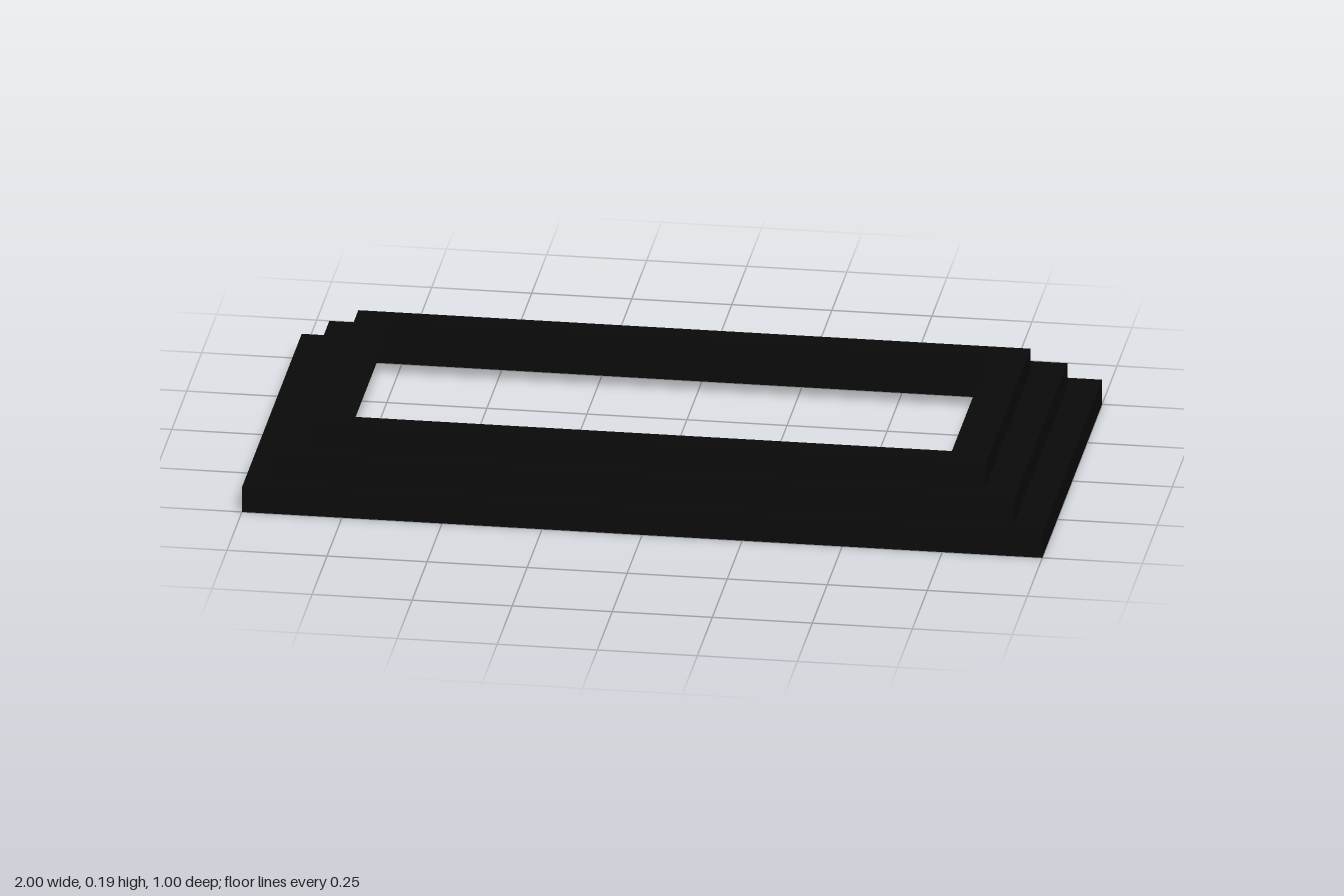
import * as THREE from 'three';

// Rectangular outlines of the stepped sheet, bottom to top: half width, height, half depth
const outlines = [
  [1.0, 0, 0.5], [1.0, 0.066, 0.5],
  [0.922, 0.066, 0.44], [0.922, 0.13, 0.44],
  [0.84, 0.13, 0.376], [0.84, 0.19, 0.376],
  [0.745, 0.19, 0.305],
];

// Four corners, anticlockwise seen from above
const corners = ([x, y, z]) => [[-x, y, z], [x, y, z], [x, y, -z], [-x, y, -z]];

// Band of four flat quads joining two outlines
function band(lower, upper) {
  const a = corners(lower), b = corners(upper), points = [];
  for (let i = 0; i < 4; i++) {
    const j = (i + 1) % 4;
    points.push(...a[i], ...a[j], ...b[j], ...a[i], ...b[j], ...b[i]);
  }
  const geometry = new THREE.BufferGeometry();
  geometry.setAttribute('position', new THREE.Float32BufferAttribute(points, 3));
  geometry.computeVertexNormals();
  return geometry;
}

export function createModel() {
  const model = new THREE.Group();
  model.name = 'steppedFrame';
  const black = new THREE.MeshStandardMaterial({ color: 0x0a0a0a, side: THREE.DoubleSide });

  // Three tiers, each an upright riser and a flat tread, open underneath
  const tiers = ['lowerTier', 'middleTier', 'upperTier'];
  tiers.forEach((name, t) => {
    const tier = new THREE.Group();
    tier.name = name;
    ['riser', 'tread'].forEach((part, k) => {
      const mesh = new THREE.Mesh(band(outlines[2 * t + k], outlines[2 * t + k + 1]), black);
      mesh.name = part;
      tier.add(mesh);
    });
    model.add(tier);
  });
  return model;
}
